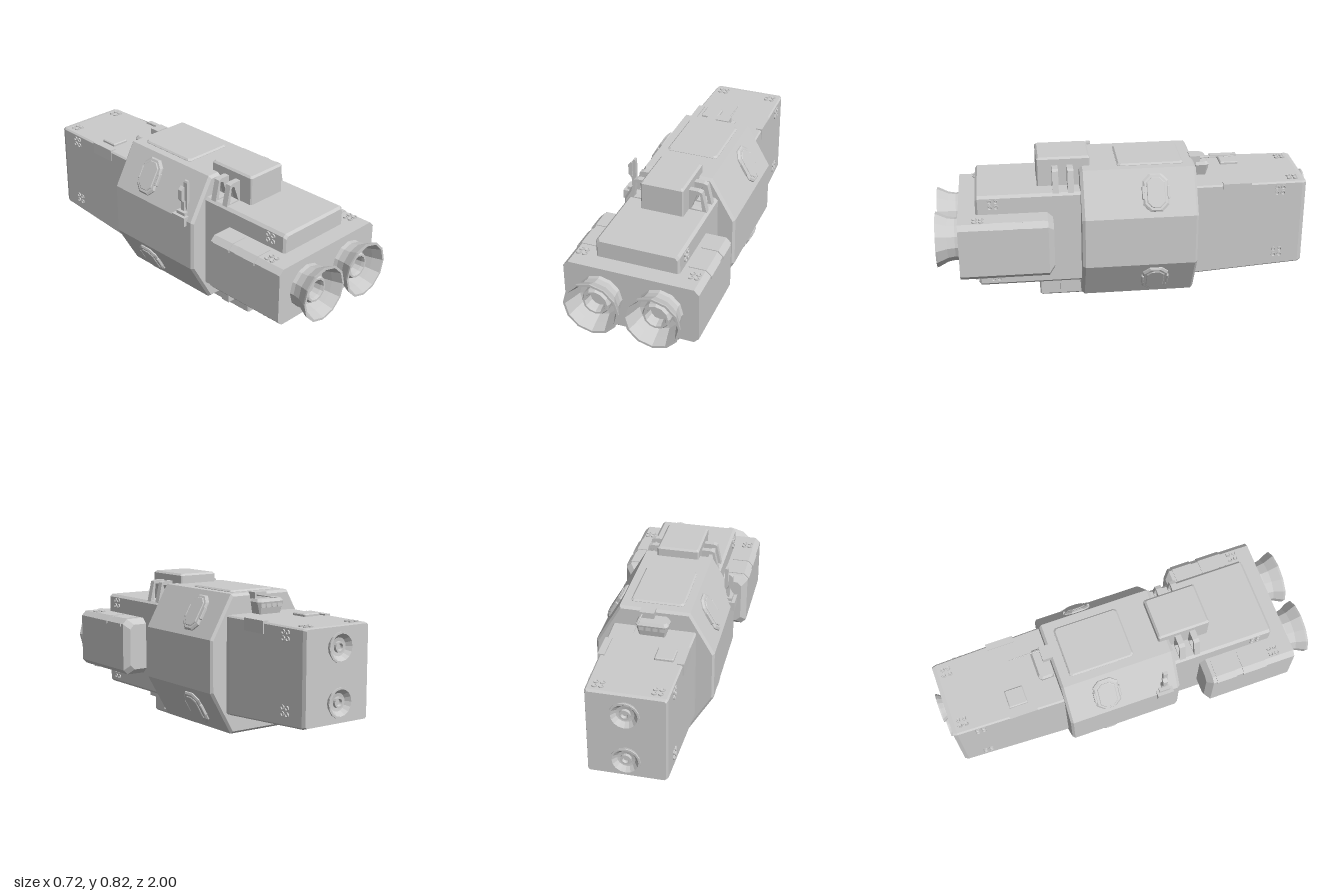
import * as THREE from 'three';

const grey = new THREE.MeshStandardMaterial({ color: 0xcccccc, flatShading: true });
const greyOpen = new THREE.MeshStandardMaterial({ color: 0xcccccc, flatShading: true, side: THREE.DoubleSide });
const MID = 0.397; // height of the long axis

// Rectangle with cut corners, counter-clockwise seen from +z
function cutRect(hw, y0, y1, c) {
  return [[hw - c, y0], [hw, y0 + c], [hw, y1 - c], [hw - c, y1],
    [-hw + c, y1], [-hw, y1 - c], [-hw, y0 + c], [-hw + c, y0]];
}

// Solid through cross-sections [z, points], in order of rising z
function loft(sections) {
  const pos = [];
  const put = (z, p) => pos.push(p[0], p[1], z);
  const n = sections[0][1].length;
  for (let s = 0; s < sections.length - 1; s++) {
    const [z0, a] = sections[s], [z1, b] = sections[s + 1];
    for (let i = 0; i < n; i++) {
      const j = (i + 1) % n;
      put(z0, a[i]); put(z0, a[j]); put(z1, b[j]);
      put(z0, a[i]); put(z1, b[j]); put(z1, b[i]);
    }
  }
  const [zs, first] = sections[0], [ze, last] = sections[sections.length - 1];
  for (let i = 1; i < n - 1; i++) {
    put(zs, first[0]); put(zs, first[i + 1]); put(zs, first[i]);
    put(ze, last[0]); put(ze, last[i]); put(ze, last[i + 1]);
  }
  const g = new THREE.BufferGeometry();
  g.setAttribute('position', new THREE.Float32BufferAttribute(pos, 3));
  g.computeVertexNormals();
  return g;
}

export function createModel() {
  const root = new THREE.Group();
  root.name = 'spacecraft';

  function add(name, geo, pos = [0, 0, 0], mat = grey, parent = root) {
    const m = new THREE.Mesh(geo, mat);
    m.name = name;
    m.position.set(...pos);
    parent.add(m);
    return m;
  }
  const box = (name, w, h, d, pos, parent) => add(name, new THREE.BoxGeometry(w, h, d), pos, grey, parent);
  // Turns an object's local +z along a surface normal
  function face(o, n) {
    o.lookAt(o.position.clone().add(new THREE.Vector3(...n)));
    return o;
  }
  // Bevelled plate lying on a surface
  function plate(name, w, h, c, t, pos, n, bevel = 0.008) {
    return face(add(name, loft([
      [-0.01, cutRect(w / 2, -h / 2, h / 2, c)],
      [t - bevel, cutRect(w / 2, -h / 2, h / 2, c)],
      [t, cutRect(w / 2 - bevel, -h / 2 + bevel, h / 2 - bevel, c)]]), pos, grey), n);
  }

  // Octagonal middle hull with chamfered ends
  const octagon = (k) => [[0.183, -0.365], [0.313, -0.138], [0.313, 0.138], [0.183, 0.365],
    [-0.183, 0.365], [-0.313, 0.138], [-0.313, -0.138], [-0.183, -0.365]].map(([x, y]) => [x * k, MID + y * k]);
  add('middleHull', loft([[-0.375, octagon(0.965)], [-0.362, octagon(1)], [0.222, octagon(1)], [0.238, octagon(0.965)]]));

  // Tapered rear hull
  add('rearHull', loft([[-0.97, cutRect(0.196, 0.178, 0.652, 0.008)], [-0.95, cutRect(0.203, 0.172, 0.655, 0.008)],
    [-0.4, cutRect(0.217, 0.142, 0.657, 0.008)], [-0.36, cutRect(0.217, 0.142, 0.657, 0.008)]]));

  // Front hull and the wide engine housing across it
  add('frontHull', loft([[0.2, cutRect(0.22, 0.135, 0.657, 0.014)], [0.775, cutRect(0.22, 0.135, 0.657, 0.014)],
    [0.787, cutRect(0.21, 0.147, 0.645, 0.014)]]));
  add('engineHousing', loft([[0.385, cutRect(0.325, 0.27, 0.525, 0.025)], [0.415, cutRect(0.355, 0.24, 0.555, 0.026)],
    [0.88, cutRect(0.355, 0.24, 0.555, 0.026)]]));
  for (const s of [1, -1]) {
    for (const [z, d] of [[0.49, 0.11], [0.65, 0.13]]) {
      const edge = [[0.24, 0.559], [0.24, 0.54], [0.34, 0.515], [0.36, 0.515], [0.36, 0.53], [0.332, 0.559]];
      const pts = s > 0 ? edge : edge.map(([x, y]) => [-x, y]).reverse();
      add('housingEdgePanel', loft([[z - d / 2, pts], [z + d / 2, pts]]));
    }
  }

  // Two large engines: bell outside and in, then the inner tube
  const lathe = (pts, n) => new THREE.LatheGeometry(pts.map((p) => new THREE.Vector2(...p)), n).rotateX(Math.PI / 2);
  const bell = lathe([[0.118, 0.87], [0.113, 0.9], [0.12, 0.94], [0.145, 0.99], [0.148, 1], [0.136, 1],
    [0.118, 0.95], [0.103, 0.9], [0.06, 0.89]], 12);
  const core = lathe([[0.073, 0.885], [0.073, 0.935], [0.065, 0.95], [0.055, 0.95], [0.05, 0.935], [0.045, 0.9], [0, 0.9]], 12);
  for (const s of [1, -1]) {
    add('engineBell', bell, [s * 0.159, MID, 0], greyOpen);
    add('engineCore', core, [s * 0.159, MID, 0], greyOpen);
  }

  // Two small nozzles at the rear end
  const smallNozzle = lathe([[0.06, 0.96], [0.064, 0.975], [0.077, 0.993], [0.077, 1], [0.067, 1], [0.046, 0.975],
    [0.028, 0.972], [0.028, 0.988], [0.018, 0.988], [0.014, 0.974], [0, 0.974]], 16);
  for (const y of [0.555, 0.285]) add('rearNozzle', smallNozzle, [0, y, 0], greyOpen).rotation.y = Math.PI;

  // Equipment boxes above and below the front hull
  const pack = loft([[0, cutRect(0.115, -0.14, 0.14, 0.006)], [0.16, cutRect(0.115, -0.14, 0.14, 0.006)],
    [0.17, cutRect(0.105, -0.13, 0.13, 0.006)]]);
  face(add('topPack', pack, [0, 0.645, 0.32]), [0, 1, 0]);
  face(add('bottomPack', pack, [0, 0.17, 0.32]), [0, -1, 0]);

  // Leaning rail frames beside the top pack, brackets beside the bottom one
  const frame = new THREE.Shape([[0.11, 0.645], [0.212, 0.645], [0.185, 0.765], [0.165, 0.772], [0.11, 0.772]].map((p) => new THREE.Vector2(...p)));
  frame.holes.push(new THREE.Path([[0.13, 0.665], [0.16, 0.75], [0.178, 0.752], [0.19, 0.662]].map((p) => new THREE.Vector2(p[0] - 0.003, p[1]))));
  const frameGeo = new THREE.ExtrudeGeometry(frame, { depth: 0.032, bevelEnabled: false });
  for (const z of [0.27, 0.35]) {
    add('railFrame', frameGeo, [0, 0, z]);
    add('railFrame', frameGeo.clone().rotateY(Math.PI), [0, 0, z + 0.032]);
  }
  box('bottomBracket', 0.36, 0.035, 0.15, [0, 0.122, 0.335]);
  box('bottomBracketFoot', 0.31, 0.075, 0.05, [0, 0.075, 0.325]);

  // Large plates on top and bottom of the middle hull
  plate('topHatch', 0.28, 0.35, 0.012, 0.01, [0, MID + 0.365, -0.138], [0, 1, 0]);
  plate('bottomHatch', 0.28, 0.35, 0.012, 0.01, [0, MID - 0.365, -0.138], [0, -1, 0]);

  // Cut-corner hatches on the slanted faces
  for (const sx of [1, -1]) for (const sy of [1, -1]) {
    const n = [sx * 0.868, sy * 0.497, 0];
    const at = (k) => [sx * (0.248 + n[0] * sx * k), MID + sy * (0.2515 + n[1] * sy * k), -0.153];
    plate('sideHatchRim', 0.135, 0.2, 0.035, 0.014, at(0), n);
    plate('sideHatchPanel', 0.095, 0.16, 0.026, 0.006, at(0.013), n, 0.003);
    for (const e of [1, -1]) {
      const p = at(0.008);
      p[2] += e * 0.066;
      plate('sideHatchHinge', 0.014, 0.07, 0.003, 0.008, p, n, 0.003);
    }
  }

  // Clusters of four little thrusters
  const ring = lathe([[0.0135, -0.005], [0.0135, 0.006], [0.009, 0.006], [0.006, 0.001], [0, 0.001]], 10);
  function cluster(pos, n) {
    const g = new THREE.Group();
    g.name = 'thrusterCluster';
    g.position.set(...pos);
    root.add(g);
    for (const a of [1, -1]) for (const b of [1, -1]) add('thruster', ring, [a * 0.016, b * 0.016, 0], greyOpen, g);
    face(g, n);
  }
  for (const s of [1, -1]) {
    cluster([s * 0.295, 0.556, 0.775], [0, 1, 0]);
    cluster([s * 0.295, 0.239, 0.775], [0, -1, 0]);
    cluster([s * 0.145, 0.656, -0.905], [0, 1, 0]);
    cluster([s * 0.145, 0.174, -0.905], [0, -1, 0]);
    for (const y of [0.61, 0.19]) cluster([s * 0.221, y, 0.695], [s, 0, 0]);
    for (const y of [0.61, 0.242]) cluster([s * 0.2065, y, -0.83], [s, 0, 0]);
    // Access panel wrapped over the rear hull's upper edge
    box('edgePanel', 0.035, 0.065, 0.15, [s * 0.2, 0.63, -0.595]);
  }
  plate('rearTopHatch', 0.097, 0.1, 0.004, 0.014, [-0.113, 0.657, -0.605], [0, 1, 0], 0.005);

  // Sensor head behind the middle hull: flared cabin, windows, camera and aerial
  const cabin = loft([[0, cutRect(0.065, -0.04, 0.03, 0.004)], [0.07, cutRect(0.085, -0.04, 0.045, 0.015)],
    [0.085, cutRect(0.075, -0.04, 0.035, 0.015)]]);
  face(add('sensorCabin', cabin, [-0.005, 0.65, -0.42]), [0, 1, 0]);
  for (let i = 0; i < 4; i++) box('sensorWindow', 0.026, 0.024, 0.008, [-0.059 + i * 0.036, 0.703, -0.459]);
  box('sensorCamera', 0.075, 0.035, 0.055, [0.03, 0.75, -0.388]);
  add('aerial', new THREE.CylinderGeometry(0.001, 0.005, 0.17, 6).rotateX(-Math.PI / 2), [0.055, 0.754, -0.5]);

  // Gripper arm on the right side of the middle hull
  const arm = new THREE.Group();
  arm.name = 'gripperArm';
  root.add(arm);
  box('armBase', 0.075, 0.05, 0.09, [-0.295, 0.535, 0.15], arm);
  box('armClamp', 0.05, 0.02, 0.06, [-0.29, 0.567, 0.15], arm);
  const fingers = [
    [[-0.297, 0.57], [-0.297, 0.625], [-0.315, 0.645], [-0.315, 0.7], [-0.298, 0.715], [-0.293, 0.715], [-0.293, 0.64], [-0.28, 0.62], [-0.285, 0.57]],
    [[-0.285, 0.57], [-0.285, 0.735], [-0.281, 0.745], [-0.27, 0.745], [-0.268, 0.735], [-0.268, 0.63], [-0.278, 0.61], [-0.278, 0.57]]];
  fingers.forEach((pts, i) => add('armFinger', new THREE.ExtrudeGeometry(
    new THREE.Shape(pts.map((p) => new THREE.Vector2(...p))), { depth: 0.024, bevelEnabled: false }), [0, 0, 0.135 + i * 0.01], grey, arm));

  return root;
}
